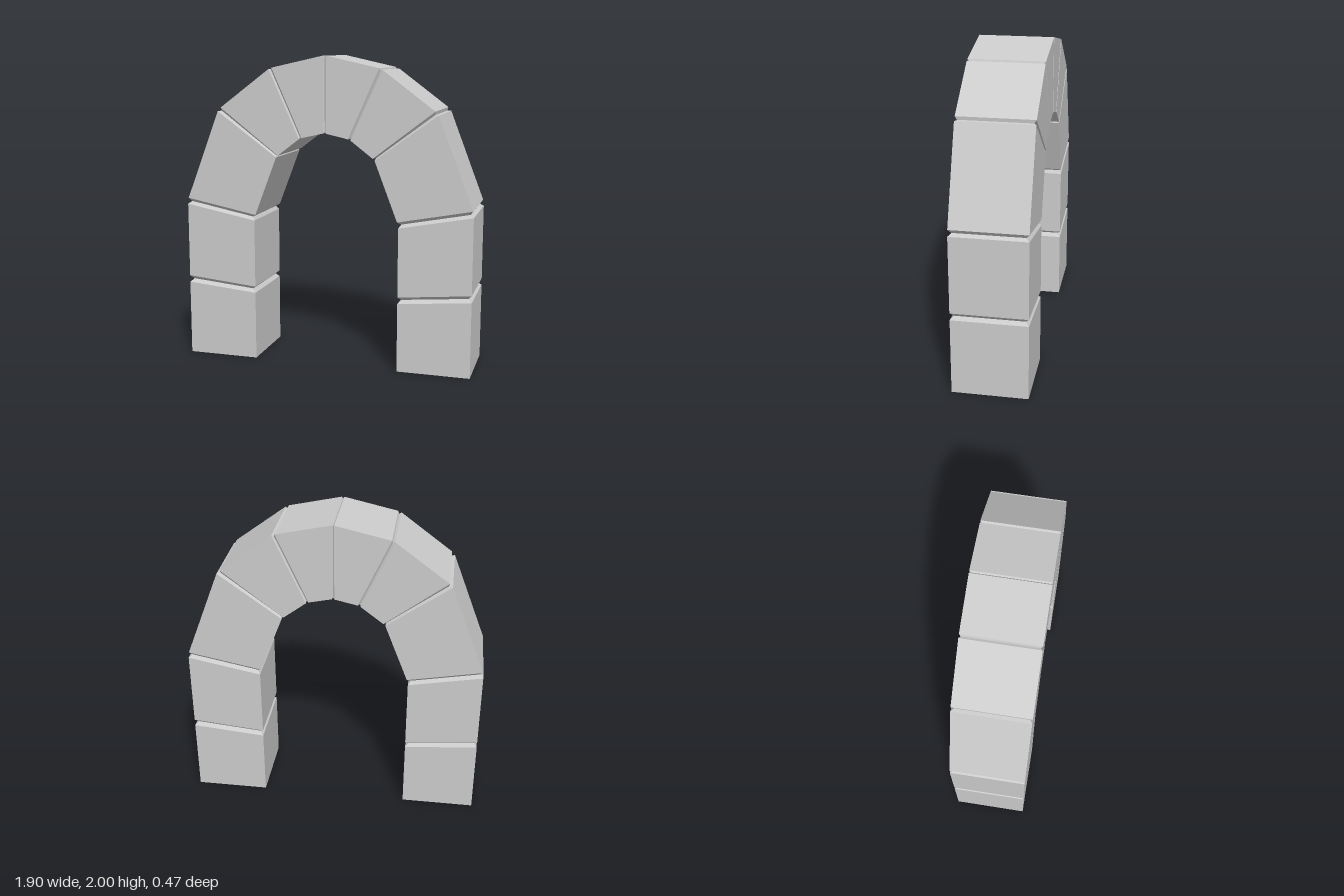
import * as THREE from 'three';

const DEPTH = 0.237; // half thickness front to back

// Joints up one side: [outer x, y, inner x, y] below and above the groove
const JOINTS = [
  { below: [0.95, 0.49, 0.48, 0.448], above: [0.95, 0.535, 0.48, 0.49] },
  { below: [0.95, 1.025, 0.48, 0.935], above: [0.945, 1.065, 0.472, 0.973] },
  { below: [0.722, 1.643, 0.325, 1.355], above: [0.702, 1.667, 0.313, 1.367] },
  { below: [0.37, 1.915, 0.17, 1.476], above: [0.35, 1.924, 0.153, 1.484] },
];
const FOOT = [0.95, 0, 0.48, 0];
const CROWN = [0.008, 2, 0.008, 1.516];

const mirror = ([ox, oy, ix, iy]) => [-ox, oy, -ix, iy];

// Four corners of a cross-section: outer front, outer back, inner back, inner front
const ring = ([ox, oy, ix, iy], z = DEPTH) => [[ox, oy, z], [ox, oy, -z], [ix, iy, -z], [ix, iy, z]];

// Narrow ring at the bottom of a V-groove, inset by half the gap
function waist({ below, above }) {
  const mid = below.map((v, i) => (v + above[i]) / 2);
  const outer = new THREE.Vector2(mid[0], mid[1]);
  const inner = new THREE.Vector2(mid[2], mid[3]);
  const inset = Math.hypot(above[0] - below[0], above[1] - below[1]) / 2;
  const step = inner.clone().sub(outer).setLength(inset);
  outer.add(step);
  inner.sub(step);
  return ring([outer.x, outer.y, inner.x, inner.y], DEPTH - inset);
}

// Skin a run of rings with quads
function skin(rings) {
  const pos = [];
  for (let r = 0; r < rings.length - 1; r++) {
    for (let k = 0; k < 4; k++) {
      const n = (k + 1) % 4;
      const a = rings[r][k], b = rings[r][n], c = rings[r + 1][n], d = rings[r + 1][k];
      pos.push(...a, ...b, ...c, ...a, ...c, ...d);
    }
  }
  const geo = new THREE.BufferGeometry();
  geo.setAttribute('position', new THREE.Float32BufferAttribute(pos, 3));
  geo.computeVertexNormals();
  return geo;
}

export function createModel() {
  const group = new THREE.Group();
  group.name = 'stoneArch';
  const stone = new THREE.MeshStandardMaterial({ color: 0xcccccc, flatShading: true, side: THREE.DoubleSide });

  // All joints, from the left foot over the crown to the right foot
  const joints = [
    ...JOINTS,
    { below: CROWN, above: mirror(CROWN) },
    ...JOINTS.map((j) => ({ below: mirror(j.above), above: mirror(j.below) })).reverse(),
  ];

  // One hollow block between each pair of joints; the feet are open underneath
  for (let i = 0; i <= joints.length; i++) {
    const from = joints[i - 1], to = joints[i];
    const rings = [
      ...(from ? [waist(from), ring(from.above)] : [ring(FOOT)]),
      ...(to ? [ring(to.below), waist(to)] : [ring(mirror(FOOT))]),
    ];
    const block = new THREE.Mesh(skin(rings), stone);
    const level = Math.min(i, joints.length - i);
    const part = ['footBlock', 'pillarBlock', 'springerBlock', 'haunchBlock', 'crownBlock'][level];
    block.name = part + (i * 2 < joints.length ? 'Left' : 'Right');
    group.add(block);
  }
  return group;
}
